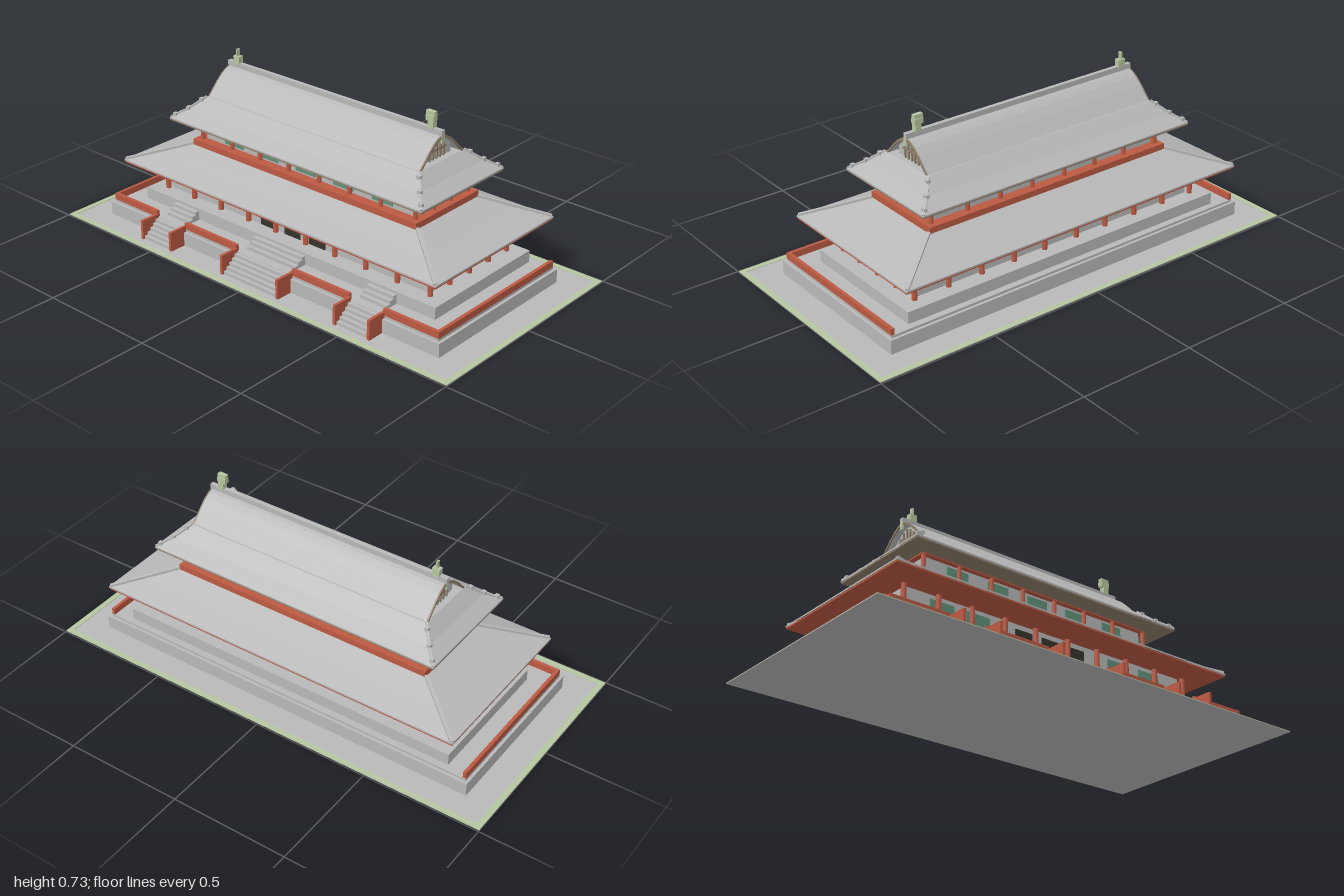
import * as THREE from 'three';

const mat = (name, color) => {
  const m = new THREE.MeshStandardMaterial({ color });
  m.name = name;
  return m;
};

export function createModel() {
  const root = new THREE.Group();
  root.name = 'hall';
  const stone = mat('stoneGrey', 0xb8b8b8);
  const red = mat('brickRed', 0xbc5a42);
  const glass = mat('windowGreen', 0x60917a);
  const dark = mat('doorDark', 0x35322b);
  const taupe = mat('timberTaupe', 0x8f7f6a);
  const pale = mat('paleGreen', 0xb6c6a0);
  const C = -0.035; // z of the building axis

  const add = (name, geo, m, parent = root) => {
    const mesh = new THREE.Mesh(geo, m);
    mesh.name = name;
    parent.add(mesh);
    return mesh;
  };
  const box = (name, m, x0, x1, y0, y1, z0, z1, parent) => {
    const b = add(name, new THREE.BoxGeometry(x1 - x0, y1 - y0, z1 - z0), m, parent);
    b.position.set((x0 + x1) / 2, (y0 + y1) / 2, (z0 + z1) / 2);
    return b;
  };
  // box centred on the building axis
  const slab = (name, m, hx, y0, y1, hz) => box(name, m, -hx, hx, y0, y1, C - hz, C + hz);
  // bar of square section between two points
  const bar = (name, m, a, b, w, h) => {
    const s = add(name, new THREE.BoxGeometry(w, h, a.distanceTo(b)), m);
    s.position.copy(a).add(b).multiplyScalar(0.5);
    s.lookAt(b);
  };
  // hipped roof skirt through rectangular rings [halfX, y, halfZ]
  const skirt = (name, m, rings) => {
    const pos = [];
    const corner = ([x, y, z], i) => [[x, y, z], [x, y, -z], [-x, y, -z], [-x, y, z]][i % 4];
    for (let r = 0; r + 1 < rings.length; r++) for (let i = 0; i < 4; i++) {
      const a = corner(rings[r], i), b = corner(rings[r], i + 1);
      const c = corner(rings[r + 1], i + 1), d = corner(rings[r + 1], i);
      pos.push(...a, ...b, ...c, ...a, ...c, ...d);
    }
    const g = new THREE.BufferGeometry();
    g.setAttribute('position', new THREE.Float32BufferAttribute(pos, 3));
    g.computeVertexNormals();
    add(name, g, m).position.z = C;
  };
  // columns around a rectangle
  const columns = (name, xs, zs, y0, y1, r) => {
    const g = new THREE.CylinderGeometry(r, r, y1 - y0, 10);
    xs.forEach((x, i) => zs.forEach((z, j) => {
      if (i > 0 && i < xs.length - 1 && j > 0 && j < zs.length - 1) return;
      add(name, g, red).position.set(x, (y0 + y1) / 2, C + z);
    }));
  };
  // flight of steps rising towards the back
  const stairs = (name, x0, x1, y0, y1, zFront, zBack, n) => {
    for (let i = 0; i < n; i++) {
      box(name, stone, x0, x1, y0, y0 + (y1 - y0) * (i + 1) / n,
        zBack - 0.01, zFront - (zFront - zBack) * i / n);
    }
  };

  // Ground with a pale border
  box('ground', stone, -1, 1, 0, 0.002, -0.495, 0.495);
  for (const s of [-1, 1]) {
    const zc = s * 0.4835, xc = s * 0.9885;
    box('groundBorder', pale, -1, 1, 0.002, 0.004, zc - 0.0115, zc + 0.0115);
    box('groundBorder', pale, xc - 0.0115, xc + 0.0115, 0.002, 0.004, -0.472, 0.472);
  }

  // Terraces
  box('terrace', stone, -0.87, 0.87, 0.002, 0.06, -0.372, 0.372);
  box('terraceDeck', stone, -0.858, 0.858, 0.06, 0.07, -0.36, 0.36);
  slab('podium', stone, 0.765, 0.07, 0.12, 0.297);

  // Red parapets with openings at the three stairs
  for (const [x0, x1] of [[-0.858, -0.602], [-0.438, -0.148], [0.148, 0.438], [0.602, 0.858]])
    box('frontParapet', red, x0, x1, 0.07, 0.097, 0.345, 0.36);
  for (const s of [-1, 1])
    box('sideParapet', red, s * 0.851 - 0.007, s * 0.851 + 0.007, 0.07, 0.097, -0.358, 0.36);
  for (const [x0, x1] of [[-0.602, -0.438], [-0.148, 0.148], [0.438, 0.602]]) {
    stairs('terraceStep', x0, x1, 0.002, 0.068, 0.437, 0.36, 5);
    for (const x of [x0, x1]) box('stairCheek', red, x - 0.006, x + 0.006, 0.002, 0.085, 0.355, 0.445);
  }
  for (const [x0, x1] of [[-0.585, -0.455], [-0.13, 0.13], [0.455, 0.585]])
    stairs('podiumStep', x0, x1, 0.07, 0.109, 0.318, 0.263, 3);

  // Lower storey
  slab('lowerWall', stone, 0.682, 0.12, 0.247, 0.225);
  columns('lowerColumn', [-0.695, -0.54, -0.385, -0.23, -0.08, 0.08, 0.23, 0.385, 0.54, 0.695],
    [-0.238, -0.12, 0, 0.12, 0.238], 0.12, 0.247, 0.011);
  const lowFront = C + 0.225;
  for (const x of [-0.515, -0.35, 0.35, 0.515])
    box('lowerWindow', glass, x - 0.055, x + 0.055, 0.16, 0.226, lowFront, lowFront + 0.004);
  for (const x of [-0.13, 0, 0.13])
    box('door', dark, x - 0.041, x + 0.041, 0.12, 0.222, lowFront, lowFront + 0.004);
  for (const s of [-1, 1])
    box('sideWindow', glass, s * 0.684 - 0.002, s * 0.684 + 0.002, 0.16, 0.227, C - 0.086, C + 0.086);

  // Lower roof
  slab('lowerSoffit', red, 0.815, 0.244, 0.251, 0.366);
  skirt('lowerRoof', stone, [[0.817, 0.251, 0.368], [0.817, 0.258, 0.368], [0.7, 0.297, 0.275], [0.588, 0.337, 0.186]]);
  for (const sx of [-1, 1]) for (const sz of [-1, 1])
    bar('lowerHipRidge', stone, new THREE.Vector3(sx * 0.812, 0.261, C + sz * 0.364),
      new THREE.Vector3(sx * 0.588, 0.34, C + sz * 0.186), 0.014, 0.01);

  // Upper storey
  slab('balconyBand', red, 0.585, 0.333, 0.36, 0.191);
  slab('upperWall', stone, 0.545, 0.36, 0.446, 0.148);
  slab('upperBeam', red, 0.568, 0.438, 0.445, 0.17);
  columns('upperColumn', [-0.557, -0.39, -0.235, -0.08, 0.08, 0.235, 0.39, 0.557],
    [-0.16, -0.053, 0.053, 0.16], 0.36, 0.44, 0.0095);
  const upFront = C + 0.148;
  for (const x of [-0.39, -0.195, 0, 0.195, 0.39])
    box('upperWindow', glass, x - 0.05, x + 0.05, 0.368, 0.427, upFront, upFront + 0.004);

  // Upper roof skirt, with small figures on the hips
  slab('upperSoffit', taupe, 0.653, 0.443, 0.45, 0.25);
  skirt('upperRoofSkirt', stone, [[0.655, 0.45, 0.252], [0.655, 0.456, 0.252], [0.6, 0.492, 0.195], [0.55, 0.54, 0.138]]);
  slab('gableFloor', stone, 0.55, 0.53, 0.54, 0.138);
  for (const sx of [-1, 1]) for (const sz of [-1, 1]) {
    const hip = new THREE.CatmullRomCurve3([[0.652, 0.457, 0.249], [0.6, 0.493, 0.195], [0.55, 0.541, 0.138]]
      .map(([x, y, z]) => new THREE.Vector3(sx * x, y, C + sz * z)));
    bar('upperHipRidge', stone, hip.getPoint(0), hip.getPoint(0.5), 0.01, 0.008);
    bar('upperHipRidge', stone, hip.getPoint(0.5), hip.getPoint(1), 0.01, 0.008);
    for (const t of [0.14, 0.5, 0.86]) {
      const p = hip.getPoint(t);
      box('hipFigure', stone, p.x - 0.008, p.x + 0.008, p.y - 0.004, p.y + 0.009, p.z - 0.008, p.z + 0.008);
    }
  }

  // Curved gable roof: outer profile [half depth, height] from eave to crown
  const profile = [[0.138, 0.532], [0.11, 0.561], [0.08, 0.593], [0.05, 0.62], [0.025, 0.635], [0, 0.643]];
  const arch = (drop) => {
    const side = profile.map(([z, y]) => [z, y - drop]);
    return [...side, ...side.slice(0, -1).reverse().map(([z, y]) => [-z, y])];
  };
  const extrude = (name, m, pts, x0, x1) => {
    const shape = new THREE.Shape(pts.map(([z, y]) => new THREE.Vector2(-z, y)));
    const g = new THREE.ExtrudeGeometry(shape, { depth: x1 - x0, bevelEnabled: false });
    const mesh = add(name, g, m);
    mesh.rotation.y = Math.PI / 2;
    mesh.position.set(x0, 0, C);
  };
  const shell = [...arch(0), ...arch(0.011).reverse()];
  extrude('gableRoof', stone, shell, -0.545, 0.545);
  const gable = [[0.09, 0.536], [0.09, 0.572], [0.05, 0.612], [0, 0.634],
    [-0.05, 0.612], [-0.09, 0.572], [-0.09, 0.536]];
  extrude('gableWall', stone, gable, -0.52, 0.52);
  for (const s of [-1, 1]) {
    extrude('bargeBoard', taupe, shell, s * 0.548 - 0.003, s * 0.548 + 0.003);
    const x = s * 0.523;
    [0.595, 0.613, 0.622, 0.613, 0.595].forEach((top, i) => {
      const z = C + (i - 2) * 0.0215;
      box('gableBar', taupe, x - 0.004, x + 0.004, 0.54, top, z - 0.003, z + 0.003);
    });
    box('gableRail', taupe, x - 0.004, x + 0.005, 0.574, 0.582, C - 0.053, C + 0.053);
    box('gablePendant', pale, s * 0.549 - 0.004, s * 0.549 + 0.004, 0.61, 0.645, C - 0.008, C + 0.008);
  }

  // Ridge and its two end ornaments
  slab('ridge', stone, 0.553, 0.636, 0.662, 0.009);
  const ornament = (parts) => {
    const g = new THREE.Group();
    g.name = 'ridgeOrnament';
    root.add(g);
    for (const [x0, x1, y0, y1, hz] of parts) box('ornamentBlock', pale, x0, x1, y0, y1, C - hz, C + hz, g);
  };
  ornament([[-0.52, -0.488, 0.655, 0.69, 0.012], [-0.508, -0.501, 0.69, 0.72, 0.008]]);
  ornament([[0.485, 0.511, 0.655, 0.688, 0.012], [0.475, 0.514, 0.688, 0.71, 0.012], [0.475, 0.514, 0.71, 0.726, 0.009]]);

  return root;
}
